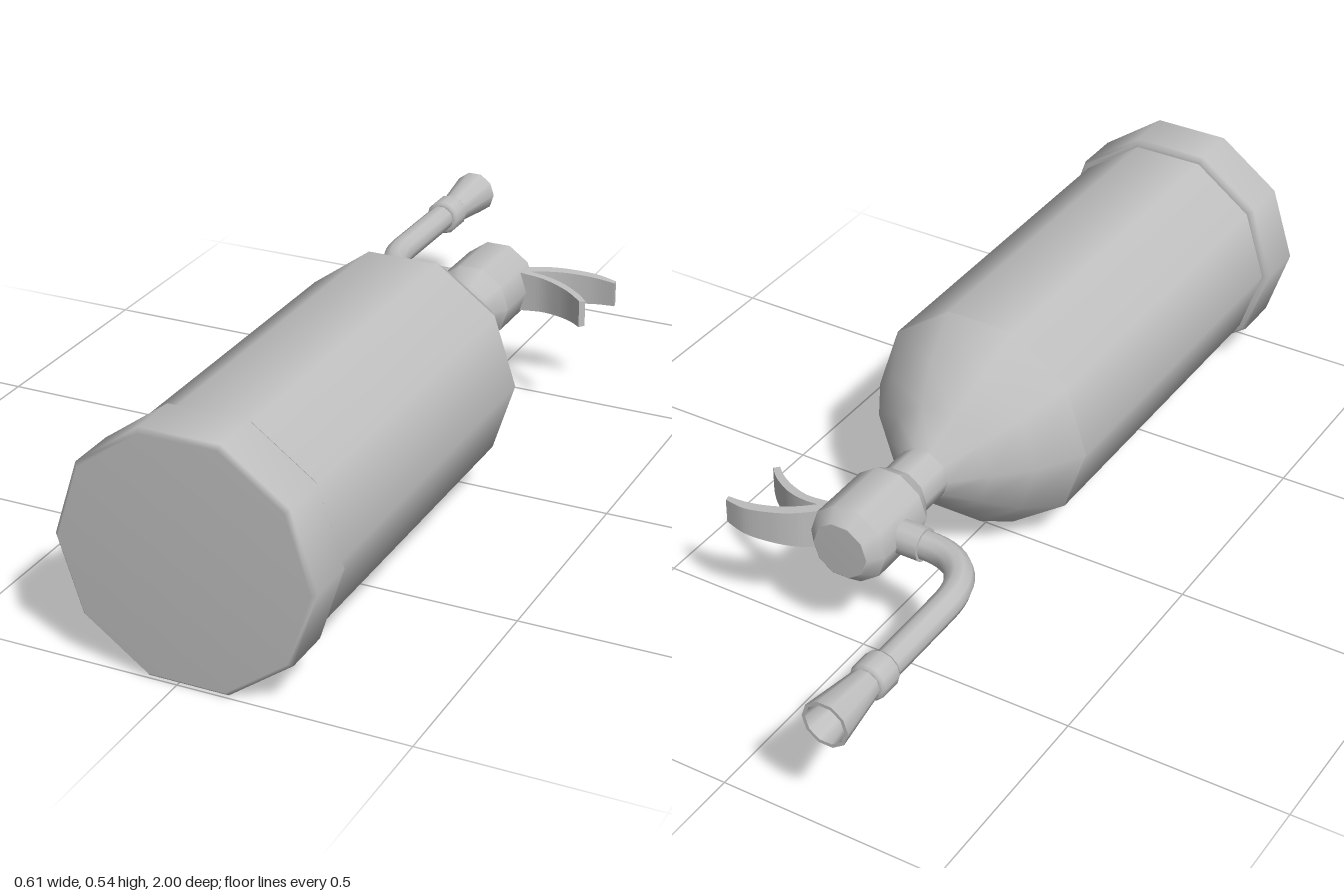
import * as THREE from 'three';

const CY = 0.27; // height of the main axis

export function createModel() {
  const model = new THREE.Group();
  model.name = 'fireExtinguisher';
  const grey = new THREE.MeshStandardMaterial({ color: 0xc0c0c0 });
  grey.name = 'plain grey';

  const add = (name, geometry) => {
    const mesh = new THREE.Mesh(geometry, grey);
    mesh.name = name;
    model.add(mesh);
    return mesh;
  };

  // Turned part lying along z; profile is [radius, z] from front (+z) to back
  const turned = (name, x, profile, sides = 10) => {
    const points = profile.map(([r, z]) => new THREE.Vector2(r, -z));
    const geometry = new THREE.LatheGeometry(points, sides, Math.PI / 2);
    geometry.rotateX(-Math.PI / 2);
    add(name, geometry).position.set(x, CY, 0);
  };

  // Tank, from the base cap to the valve head
  const tankX = 0.021;
  turned('baseCap', tankX, [
    [0, 1], [0.272, 1], [0.282, 0.99], [0.282, 0.88], [0.275, 0.87], [0.26, 0.87],
  ]);
  turned('cylinderBody', tankX, [[0.2655, 0.88], [0.2655, 0.015]]);
  turned('shoulder', tankX, [[0.2655, 0.015], [0.2, -0.09], [0.13, -0.16], [0.063, -0.225]]);
  turned('neck', tankX, [[0.062, -0.22], [0.062, -0.32]]);
  turned('valveCollar', tankX, [[0.062, -0.31], [0.092, -0.355]]);
  turned('valveBody', tankX, [[0.092, -0.355], [0.092, -0.512]]);
  turned('valveTop', tankX, [[0.092, -0.512], [0.066, -0.542], [0.064, -0.543], [0, -0.543]]);

  // Hose socket on the valve's side
  const socket = new THREE.CylinderGeometry(0.038, 0.038, 0.06, 12);
  socket.rotateZ(Math.PI / 2);
  add('hoseSocket', socket).position.set(-0.087, CY, -0.433);

  // Hose: short run out, quarter bend, long straight run back
  const hoseX = -0.257;
  const hosePath = new THREE.CurvePath();
  const v = (x, z) => new THREE.Vector3(x, CY, z);
  hosePath.add(new THREE.LineCurve3(v(-0.08, -0.433), v(-0.125, -0.433)));
  hosePath.add(new THREE.CubicBezierCurve3(
    v(-0.125, -0.433), v(-0.205, -0.433), v(hoseX, -0.48), v(hoseX, -0.59)));
  hosePath.add(new THREE.LineCurve3(v(hoseX, -0.59), v(hoseX, -0.82)));
  add('hose', new THREE.TubeGeometry(hosePath, 28, 0.032, 10));

  // Coupling and hollow flared nozzle
  turned('nozzleCoupling', -0.254, [
    [0.03, -0.8], [0.038, -0.8], [0.042, -0.807], [0.042, -0.855], [0.038, -0.862], [0.03, -0.862],
  ], 12);
  turned('nozzleOutside', -0.252, [[0.034, -0.86], [0.053, -1]]);
  turned('nozzleRim', -0.252, [[0.053, -1], [0.045, -1]]);
  turned('nozzleInside', -0.252, [[0.045, -1], [0.028, -0.88], [0, -0.88]]);

  // Levers: curved outlines in plan, narrowing towards the tips
  const lever = (name, outer, inner) => {
    const toPoints = (list) => list.map(([x, z]) => new THREE.Vector2(x, -z));
    const shape = new THREE.Shape();
    const [start, ...rest] = toPoints(inner);
    shape.moveTo(start.x, start.y);
    shape.splineThru(rest);
    const back = toPoints(outer).reverse();
    shape.lineTo(back[0].x, back[0].y);
    shape.splineThru(back.slice(1));
    const geometry = new THREE.ExtrudeGeometry(shape, {
      depth: 1, bevelEnabled: false, curveSegments: 6,
    });
    geometry.translate(0, 0, -0.5);
    geometry.rotateX(-Math.PI / 2);
    const p = geometry.attributes.position;
    for (let i = 0; i < p.count; i++) {
      const t = THREE.MathUtils.clamp((p.getX(i) - 0.1) / 0.2, 0, 1);
      p.setY(i, p.getY(i) * (0.094 - 0.036 * t));
    }
    geometry.computeVertexNormals();
    add(name, geometry).position.y = CY;
  };
  lever('squeezeLever',
    [[0.09, -0.495], [0.14, -0.53], [0.19, -0.55], [0.25, -0.56], [0.302, -0.55]],
    [[0.09, -0.46], [0.14, -0.5], [0.19, -0.525], [0.25, -0.538], [0.304, -0.537]]);
  lever('carryHandle',
    [[0.09, -0.482], [0.15, -0.481], [0.2, -0.468], [0.25, -0.438], [0.281, -0.408]],
    [[0.09, -0.462], [0.15, -0.463], [0.2, -0.447], [0.24, -0.424], [0.27, -0.398]]);

  return model;
}
